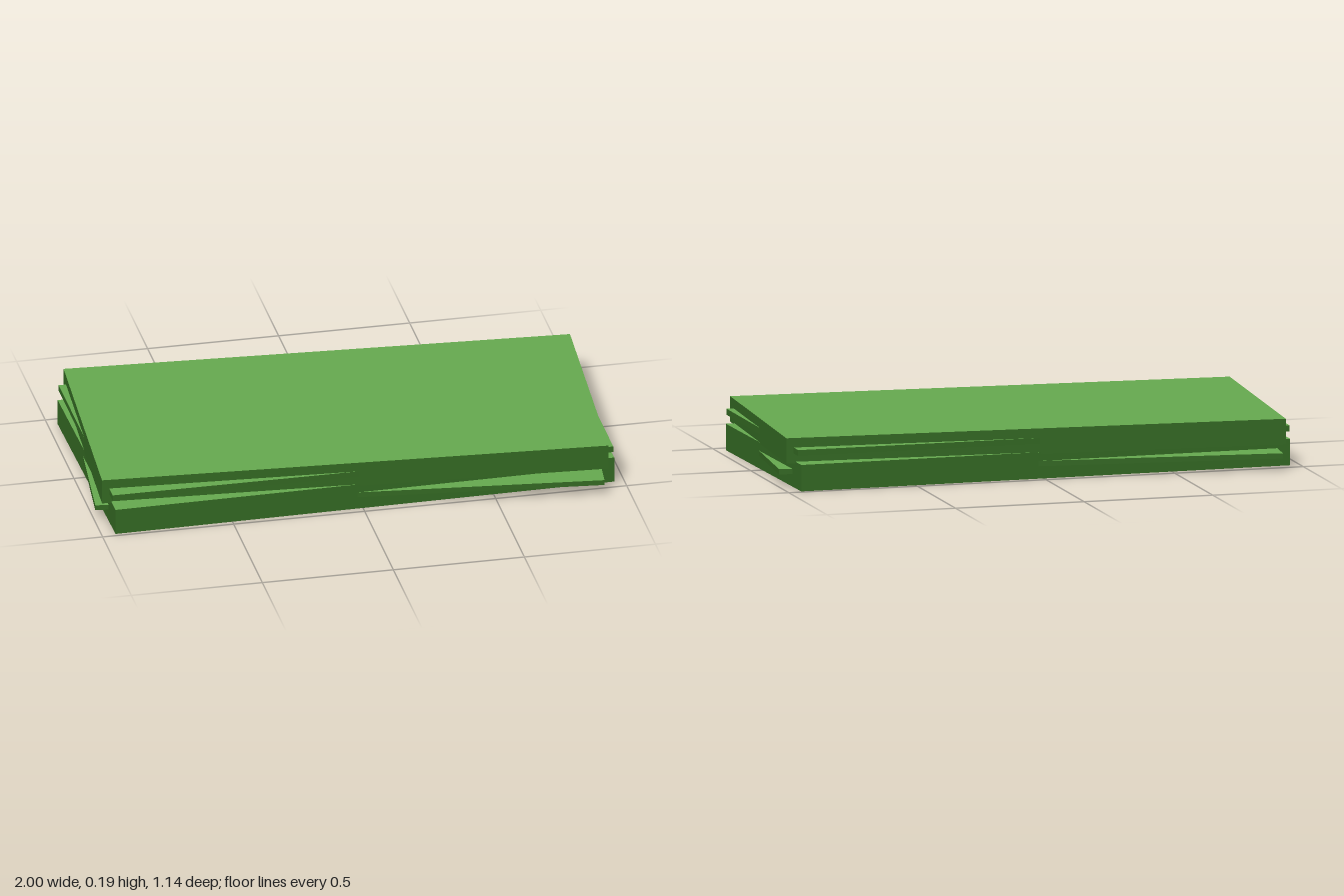
import * as THREE from 'three';

export function createModel() {
  const model = new THREE.Group();
  model.name = 'bundleStack';

  const paperFace = new THREE.MeshStandardMaterial({ color: 0x66aa4f });
  paperFace.name = 'light green';
  const paperEdge = new THREE.MeshStandardMaterial({ color: 0x346a23 });
  paperEdge.name = 'dark green';
  // box side order: +x, -x, +y, -y, +z, -z
  const materials = [paperEdge, paperEdge, paperFace, paperFace, paperEdge, paperEdge];

  // a flat slab from y0 to y1, turned about the vertical axis
  function slab(name, y0, y1, degrees) {
    const mesh = new THREE.Mesh(new THREE.BoxGeometry(1.91, y1 - y0, 0.942), materials);
    mesh.name = name;
    mesh.position.y = (y0 + y1) / 2;
    mesh.rotation.y = THREE.MathUtils.degToRad(degrees);
    model.add(mesh);
  }

  // two thick bundles, each with a loose sheaf slipping out of it
  slab('lowerBundle', 0, 0.1, 0.9);
  slab('lowerLooseSheaf', 0.047, 0.067, -6);
  slab('upperBundle', 0.094, 0.19, -3.6);
  slab('upperLooseSheaf', 0.131, 0.154, 0);

  return model;
}
